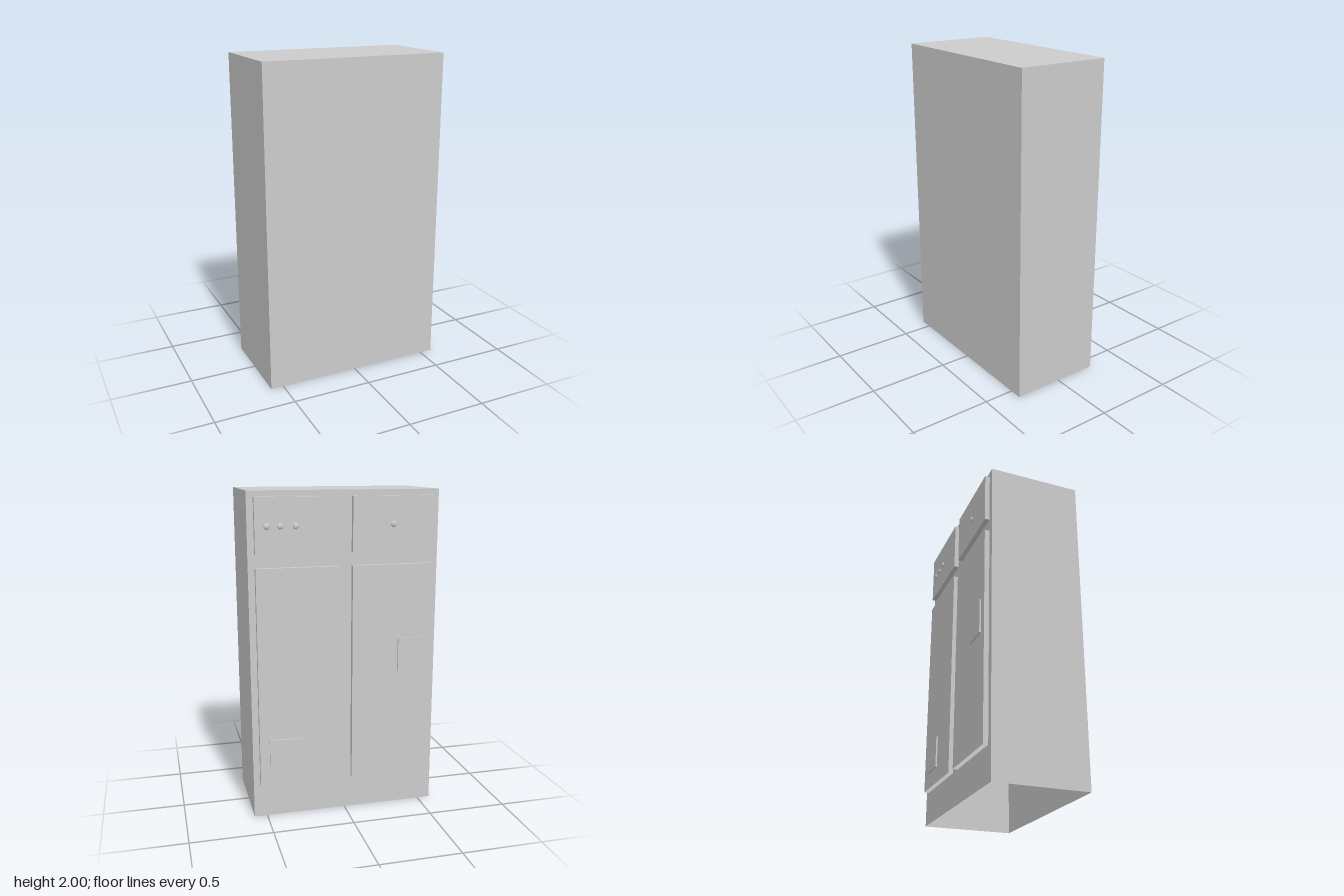
import * as THREE from 'three';

const W = 0.58, H = 2, FRONT = 0.31, BACK = -0.27, FACE = -0.30;
const DOORS = { y0: 0.21, y1: 1.56 }, DRAWERS = { y0: 1.64, y1: 1.965 };

export function createModel() {
  const group = new THREE.Group();
  const mat = new THREE.MeshStandardMaterial({ color: 0xcccccc, flatShading: true, side: THREE.DoubleSide });

  const add = (name, geo, x = 0, y = 0, z = 0) => {
    const mesh = new THREE.Mesh(geo, mat);
    mesh.name = name;
    mesh.position.set(x, y, z);
    group.add(mesh);
    return mesh;
  };
  // Box given by its limits; open sides are listed by face group (0 +x, 1 -x, 2 +y, 3 -y, 4 +z, 5 -z)
  const box = (name, [x0, x1], [y0, y1], [z0, z1], open = []) => {
    const geo = new THREE.BoxGeometry(x1 - x0, y1 - y0, z1 - z0);
    const index = Array.from(geo.index.array);
    geo.setIndex(index.filter((_, i) => !open.includes(Math.floor(i / 6))));
    geo.clearGroups();
    return add(name, geo, (x0 + x1) / 2, (y0 + y1) / 2, (z0 + z1) / 2);
  };

  // Cabinet shell, open underneath, its door side closed by the frame below
  box('cabinetShell', [-W, W], [0, H], [BACK, FRONT], [3, 5]);

  // Frame with openings behind the doors
  const frame = new THREE.Shape([[-W, 0], [W, 0], [W, H], [-W, H]].map(p => new THREE.Vector2(...p)));
  for (const side of [-1, 1]) {
    const a = side * 0.04, b = side * 0.54;
    frame.holes.push(new THREE.Path(
      [[a, DOORS.y0], [a, DOORS.y1], [b, DOORS.y1], [b, DOORS.y0]].map(p => new THREE.Vector2(...p))));
  }
  const frameGeo = new THREE.ShapeGeometry(frame);
  frameGeo.rotateY(Math.PI);
  add('doorFrame', frameGeo, 0, 0, BACK);

  // Raised doors (open below and behind) and drawer fronts
  for (const [label, xs] of [['left', [0.04, 0.54]], ['right', [-0.54, -0.04]]]) {
    box(label + 'Door', xs, [DOORS.y0, DOORS.y1], [FACE, BACK], [3, 4]);
    box(label + 'DrawerFront', xs, [DRAWERS.y0, DRAWERS.y1], [FACE, BACK], [4]);
  }

  // Thin plates on the doors
  box('leftDoorPlate', [0.28, 0.48], [0.31, 0.51], [-0.31, FACE]);
  box('rightDoorPlate', [-0.49, -0.33], [0.89, 1.105], [-0.31, FACE]);

  // Small round knobs on the drawer fronts
  const knobGeo = new THREE.SphereGeometry(0.019, 8, 6);
  knobGeo.scale(1, 1, 0.55);
  for (const x of [0.47, 0.39, 0.30, -0.29]) add('knob', knobGeo, x, 1.8, FACE);

  return group;
}
